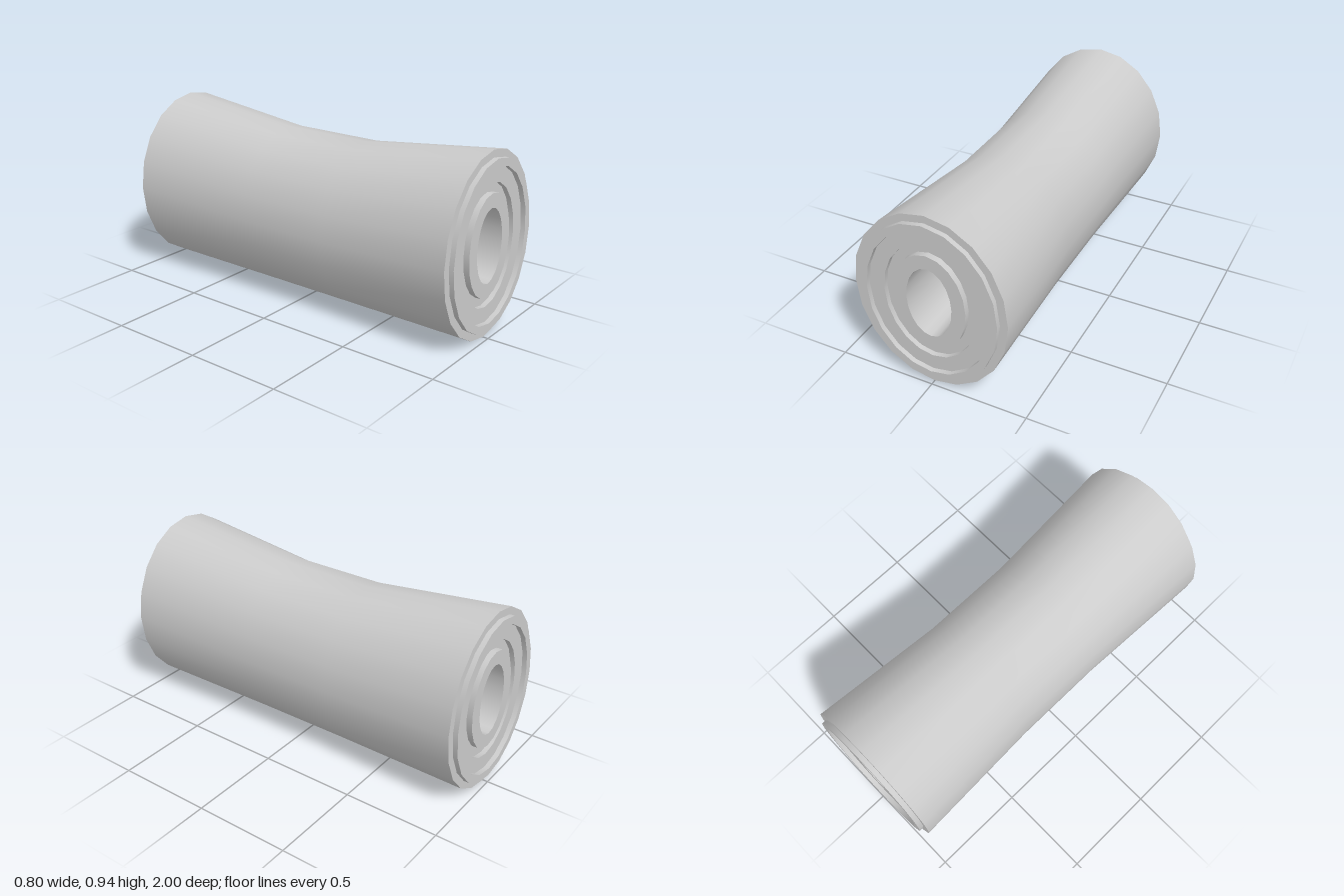
import * as THREE from 'three';
import { mergeGeometries } from 'three/addons/utils/BufferGeometryUtils.js';

const SIDES = 20;
const CY = 0.473; // height of the roller axis
const STRETCH = 0.072; // every oval is this much taller than wide

// Oval cross-section: half width, depth, half height, centre height
const oval = (r, z, ry = r + STRETCH, cy = CY) => ({ r, z, ry, cy });

// Smooth skin through successive ovals
function skin(ovals) {
  const pos = [], index = [];
  ovals.forEach(({ r, z, ry, cy }, k) => {
    for (let i = 0; i < SIDES; i++) {
      const a = (i / SIDES) * Math.PI * 2;
      pos.push(r * Math.cos(a), cy + ry * Math.sin(a), z);
      if (k === ovals.length - 1) continue;
      const p = k * SIDES + i, q = k * SIDES + ((i + 1) % SIDES);
      index.push(p, q, p + SIDES, q, q + SIDES, p + SIDES);
    }
  });
  const g = new THREE.BufferGeometry();
  g.setAttribute('position', new THREE.Float32BufferAttribute(pos, 3));
  g.setIndex(index);
  g.computeVertexNormals();
  return g;
}

// Sharp-edged oval tube between two depths
function tube(outer, inner, z0, z1) {
  const c = [oval(outer, z0), oval(outer, z1), oval(inner, z1), oval(inner, z0)];
  return mergeGeometries(c.map((s, i) => skin([s, c[(i + 1) % 4]])));
}

export function createModel() {
  const group = new THREE.Group();
  const material = new THREE.MeshStandardMaterial({ color: 0xcccccc });
  const add = (name, geometry) => {
    const mesh = new THREE.Mesh(geometry, material);
    mesh.name = name;
    group.add(mesh);
  };

  // Waisted roller body with flat rims
  const END = 0.975;
  add('rollerBody', mergeGeometries([
    skin([
      oval(0.4, -END, 0.47),
      oval(0.363, -0.25, 0.43, 0.43),
      oval(0.363, 0.25, 0.43, 0.43),
      oval(0.4, END, 0.47),
    ]),
    skin([oval(0.4, END, 0.47), oval(0.355, END)]),
    skin([oval(0.355, -END), oval(0.4, -END, 0.47)]),
  ]));

  // Bearing rings set into both ends: outer radius, inner radius, face depth
  const rings = [
    ['endCollar', 0.36, 0.32, 1],
    ['bearingSeal', 0.32, 0.24, 0.975],
    ['bearingGroove', 0.24, 0.19, 0.95],
  ];
  for (const [name, outer, inner, z] of rings) {
    add(name + 'Front', tube(outer, inner, 0.85, z));
    add(name + 'Back', tube(outer, inner, -z, -0.85));
  }

  // Hollow core running right through
  add('innerSleeve', tube(0.19, 0.118, -0.98, 0.98));
  return group;
}
